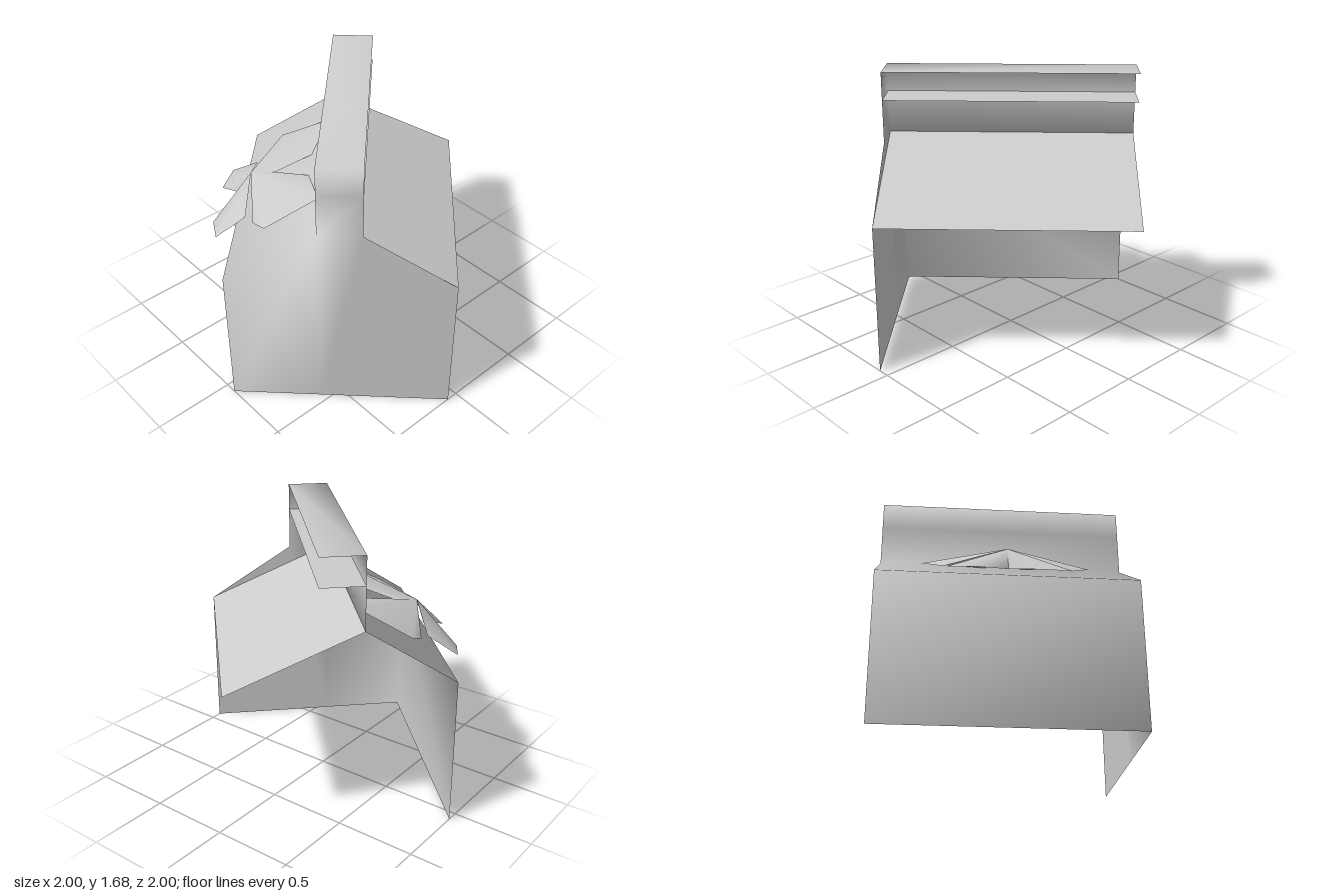
import * as THREE from 'three';
import { mergeVertices } from 'three/addons/utils/BufferGeometryUtils.js';

const H = 0.757;                 // half length along the ridge
const D = 0.658;                 // half depth of the body
const R = 0.127;                 // half depth of the ridge
const EAVE = 0.91, NECK = 1.25, SHELF = 1.51, TOP = 1.68;

// Joins triangles and quads (lists of [x, y, z]) into one smooth surface
function surface(name, faces, material) {
  const pos = [];
  for (const f of faces) {
    for (let i = 1; i < f.length - 1; i++) pos.push(...f[0], ...f[i], ...f[i + 1]);
  }
  let geo = new THREE.BufferGeometry();
  geo.setAttribute('position', new THREE.Float32BufferAttribute(pos, 3));
  geo = mergeVertices(geo, 1e-4);
  geo.computeVertexNormals();
  const mesh = new THREE.Mesh(geo, material);
  mesh.name = name;
  return mesh;
}

export function createModel() {
  const grey = new THREE.MeshStandardMaterial({ color: 0xcccccc, side: THREE.DoubleSide });
  grey.name = 'light grey';
  const group = new THREE.Group();
  group.name = 'carton';

  // Front wall, front slope, ridge front and ridge top, swept along the ridge
  const shell = [];
  const profile = [[D, 0], [D, EAVE], [R, NECK], [R, SHELF], [R, TOP], [-R, TOP]];
  for (let i = 0; i < profile.length - 1; i++) {
    const [z0, y0] = profile[i], [z1, y1] = profile[i + 1];
    shell.push([[-H, y0, z0], [H, y0, z0], [H, y1, z1], [-H, y1, z1]]);
  }
  // Gable end wall in three upright strips
  const gable = [[D, EAVE], [R, NECK], [-R, NECK], [-D, EAVE]];
  for (let i = 0; i < 3; i++) {
    const [z0, y0] = gable[i], [z1, y1] = gable[i + 1];
    shell.push([[H, 0, z0], [H, 0, z1], [H, y1, z1], [H, y0, z0]]);
  }
  // End of the ridge
  for (const [y0, y1] of [[NECK, SHELF], [SHELF, TOP]]) {
    shell.push([[H, y0, R], [H, y0, -R], [H, y1, -R], [H, y1, R]]);
  }
  group.add(surface('bodyShell', shell, grey));

  // Back slope, running under the ridge to its front edge
  group.add(surface('backRoof', [
    [[H, EAVE, -D], [-H, EAVE, -D], [-H, NECK, R], [H, NECK, R]],
  ], grey));

  // Level shelf inside the open ridge
  group.add(surface('ridgeShelf', [
    [[-H, SHELF, R], [H, SHELF, R], [H, SHELF, -R], [-H, SHELF, -R]],
  ], grey));

  // Bow: one large and one small petal, mirrored to the other side
  const centre = [0, 1.12, 0.587];
  const petals = {
    largePetal: [[0.37, 1.02, 0.534], [0.498, 1.08, 0.449], [0.424, 1.25, 0.141],
      [0.11, 1.19, 0.223], [0, 1.13, 0.438]],
    smallPetal: [[0, 0.96, 0.636], [0.18, 0.87, 0.81], [0.354, 0.89, 0.764],
      [0.293, 1.0, 0.59]],
  };
  const bow = new THREE.Group();
  bow.name = 'bow';
  for (const side of [1, -1]) {
    for (const [name, rim] of Object.entries(petals)) {
      const points = rim.map(([x, y, z]) => [x * side, y, z]);
      if (side < 0) points.reverse();
      const faces = [];
      for (let i = 0; i < points.length - 1; i++) faces.push([centre, points[i], points[i + 1]]);
      bow.add(surface(name + (side > 0 ? 'A' : 'B'), faces, grey));
    }
  }
  group.add(bow);

  // The ridge runs diagonally
  group.rotation.y = -Math.PI / 4;
  const model = new THREE.Group();
  model.name = 'model';
  model.add(group);
  return model;
}
